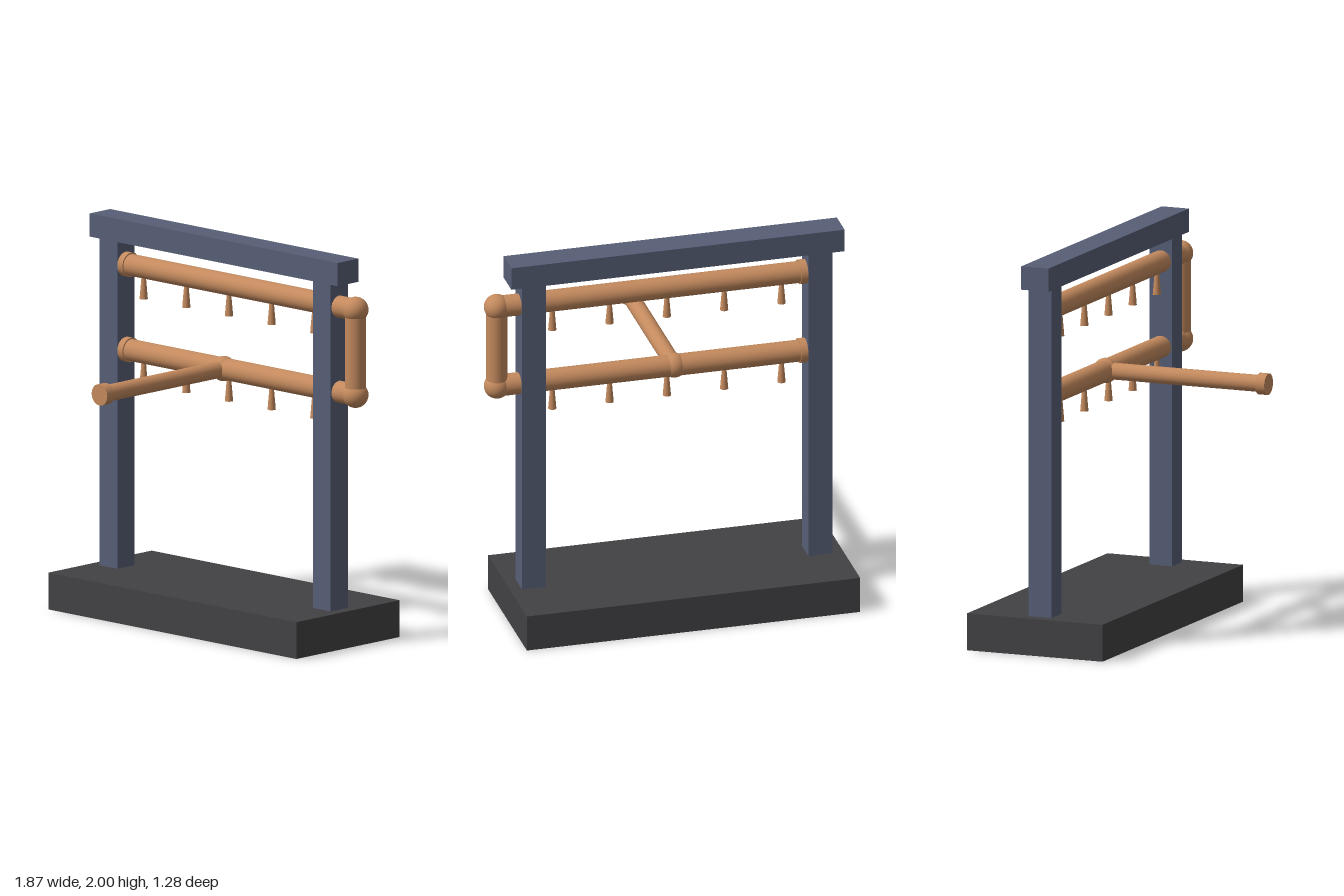
import * as THREE from 'three';

export function createModel() {
  const model = new THREE.Group();
  const material = (name, color) => {
    const m = new THREE.MeshStandardMaterial({ color });
    m.name = name;
    return m;
  };
  const charcoal = material('charcoal', 0x424144);
  const slate = material('slate blue', 0x575f77);
  const copper = material('copper', 0xc48a5e);

  const CX = -0.0625, CZ = -0.2625;   // centre of the frame
  const UPPER = 1.756, LOWER = 1.316; // pipe heights
  const ELBOW_X = 0.865, PIPE_R = 0.056;

  const add = (name, geometry, mat, x, y, z) => {
    const mesh = new THREE.Mesh(geometry, mat);
    mesh.name = name;
    mesh.position.set(x, y, z);
    model.add(mesh);
    return mesh;
  };
  const box = (name, mat, w, h, d, x, y, z) =>
    add(name, new THREE.BoxGeometry(w, h, d), mat, x, y, z);
  const ball = (name, r, x, y, z) =>
    add(name, new THREE.SphereGeometry(r, 32, 20), copper, x, y, z);

  // Round bar between two points
  const rod = (name, from, to, rFrom, rTo = rFrom) => {
    const a = new THREE.Vector3(...from), b = new THREE.Vector3(...to);
    const dir = b.clone().sub(a);
    const mid = a.clone().add(b).multiplyScalar(0.5);
    const mesh = add(name, new THREE.CylinderGeometry(rTo, rFrom, dir.length(), 32),
      copper, mid.x, mid.y, mid.z);
    mesh.quaternion.setFromUnitVectors(new THREE.Vector3(0, 1, 0), dir.normalize());
    return mesh;
  };

  // Base and frame
  box('base', charcoal, 1.745, 0.19, 0.75, CX, 0.095, -0.265);
  for (const side of [-1, 1]) {
    box(side < 0 ? 'rightPost' : 'leftPost', slate, 0.125, 1.69, 0.125,
      CX + side * 0.75, 1.035, CZ);
  }
  box('topBeam', slate, 1.745, 0.12, 0.15, CX, 1.94, -0.265);

  // Two horizontal pipes with end flanges, elbows and rows of nozzles
  for (const [level, y] of [['upper', UPPER], ['lower', LOWER]]) {
    rod(level + 'Pipe', [-0.75, y, CZ], [ELBOW_X, y, CZ], PIPE_R);
    rod(level + 'Flange', [-0.75, y, CZ], [-0.713, y, CZ], 0.063);
    ball(level + 'Elbow', 0.066, ELBOW_X, y, CZ);
    for (let i = 0; i < 5; i++) {
      const x = -0.625 + i * 0.3;
      rod(level + 'Nozzle', [x, y - 0.162, CZ], [x, y - 0.045, CZ], 0.021, 0.011);
    }
  }

  // Riser joining the pipes
  rod('riserPipe', [ELBOW_X, LOWER, CZ], [ELBOW_X, UPPER, CZ], 0.054);

  // Inlet branch with tee joint and end coupling
  ball('teeJoint', 0.064, CX, LOWER, CZ);
  rod('inletPipe', [CX, LOWER, CZ], [CX, LOWER, 0.6], 0.043);
  rod('inletCoupling', [CX, LOWER, 0.59], [CX, LOWER, 0.64], 0.055);

  return model;
}
